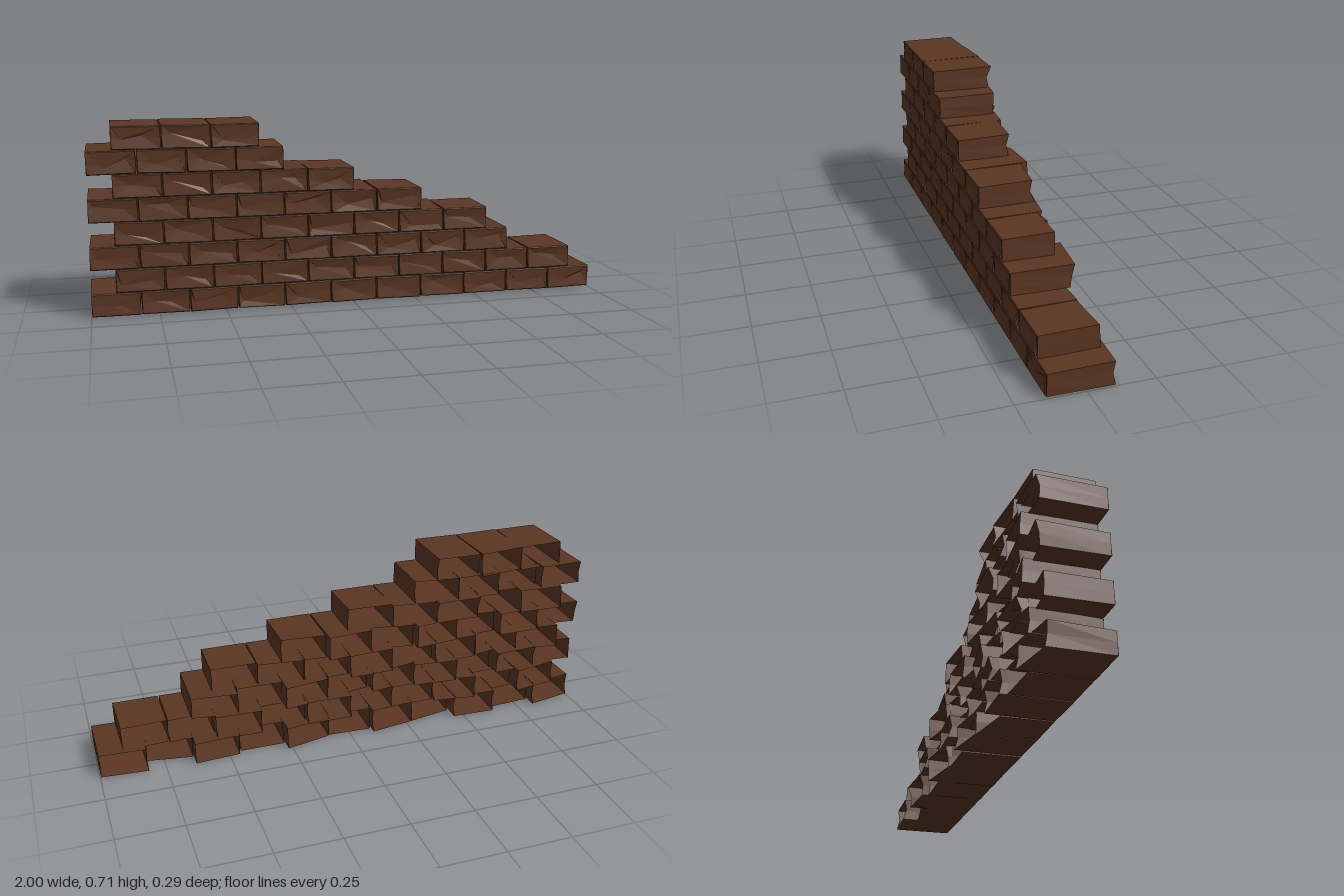
import * as THREE from 'three';

const PITCH = 2 / 11, ROW = 0.0885, BASE = 0.006, FRONT = 0.143;

// Each course: left edge and how far every brick reaches back
const courses = [
  { x: -1, reach: [0.11, 0.09, 0.12, 0.08, 0.11, 0.09, 0.12, 0.085, 0.125, 0.065, 0.108] },
  { x: -0.909, reach: [0.13, 0.09, 0.12, 0.1, 0.07, 0.12, 0.08, 0.12, 0.07, 0.075] },
  { x: -1, reach: [0.09, 0.12, 0.08, 0.12, 0.1, 0.08, 0.12, 0.08, 0.1] },
  { x: -0.909, reach: [0.12, 0.08, 0.11, 0.07, 0.12, 0.09, 0.08, 0.055] },
  { x: -1, reach: [0.1, 0.125, 0.08, 0.12, 0.09, 0.11, 0.078] },
  { x: -0.909, reach: [0.13, 0.09, 0.12, 0.1, 0.075] },
  { x: -1, reach: [0.11, 0.08, 0.11, 0.1] },
  { x: -0.909, reach: [0.095, 0.105, 0.1] },
];

// Small seeded generator, returns -amount..amount
let seed = 7;
function jitter(amount) {
  seed = (seed * 16807) % 2147483647;
  return (seed / 2147483647 * 2 - 1) * amount;
}

// Six-sided outline per section: four corners plus a midpoint on each side
const outline = [[-1, -1], [1, -1], [1, 0], [1, 1], [-1, 1], [-1, 0]];

function brickGeometry(back) {
  const w = 0.0885, h = 0.043;
  const yaw = jitter(0.016), pitch = jitter(0.006), roll = jitter(0.0015);
  const shiftX = jitter(0.003), notch = 0.006 + jitter(0.006);
  const sections = [
    // ragged back rim
    outline.map(([x, y]) => [
      x * w + shiftX + jitter(0.002), y * (h + 0.0025) + x * roll + jitter(0.001),
      -back + x * yaw + y * pitch + (y === 0 ? notch : 0) + jitter(0.004)]),
    // front shoulder
    outline.map(([x, y]) => [x * (w + jitter(0.001)), y * h + x * roll, FRONT - 0.003]),
    // front face, chipped inward from both sides
    outline.map(([x, y]) => [
      x * (w - 0.003 - (y === 0 ? 0.04 + jitter(0.03) : 0)),
      y * (h - 0.003) + (y === 0 ? jitter(0.02) : x * roll),
      FRONT - (y === 0 ? 0.005 + jitter(0.003) : 0)]),
  ];
  const index = [];
  for (let s = 0; s < 2; s++) {
    for (let i = 0; i < 6; i++) {
      const j = (i + 1) % 6, a = s * 6 + i, b = s * 6 + j;
      index.push(a, b, b + 6, a, b + 6, a + 6);
    }
  }
  // front cap; the back stays open
  for (const tri of [[0, 1, 5], [1, 2, 5], [2, 3, 5], [3, 4, 5]]) {
    index.push(...tri.map((i) => 12 + i));
  }
  const g = new THREE.BufferGeometry();
  g.setAttribute('position', new THREE.Float32BufferAttribute(sections.flat(2), 3));
  g.setIndex(index);
  const flat = g.toNonIndexed();
  flat.computeVertexNormals();
  return flat;
}

export function createModel() {
  const model = new THREE.Group();
  model.name = 'brokenBrickWall';
  // bricks are hollow shells, so both sides show
  const brown = new THREE.MeshStandardMaterial({ color: 0x5b3623, side: THREE.DoubleSide });
  brown.name = 'brickBrown';

  courses.forEach(({ x, reach }, r) => {
    const course = new THREE.Group();
    course.name = `course${r + 1}`;
    reach.forEach((back, i) => {
      const brick = new THREE.Mesh(brickGeometry(back), brown);
      brick.name = 'brick';
      brick.position.set(x + (i + 0.5) * PITCH, BASE + (r + 0.5) * ROW, 0);
      course.add(brick);
    });
    model.add(course);
  });
  return model;
}
